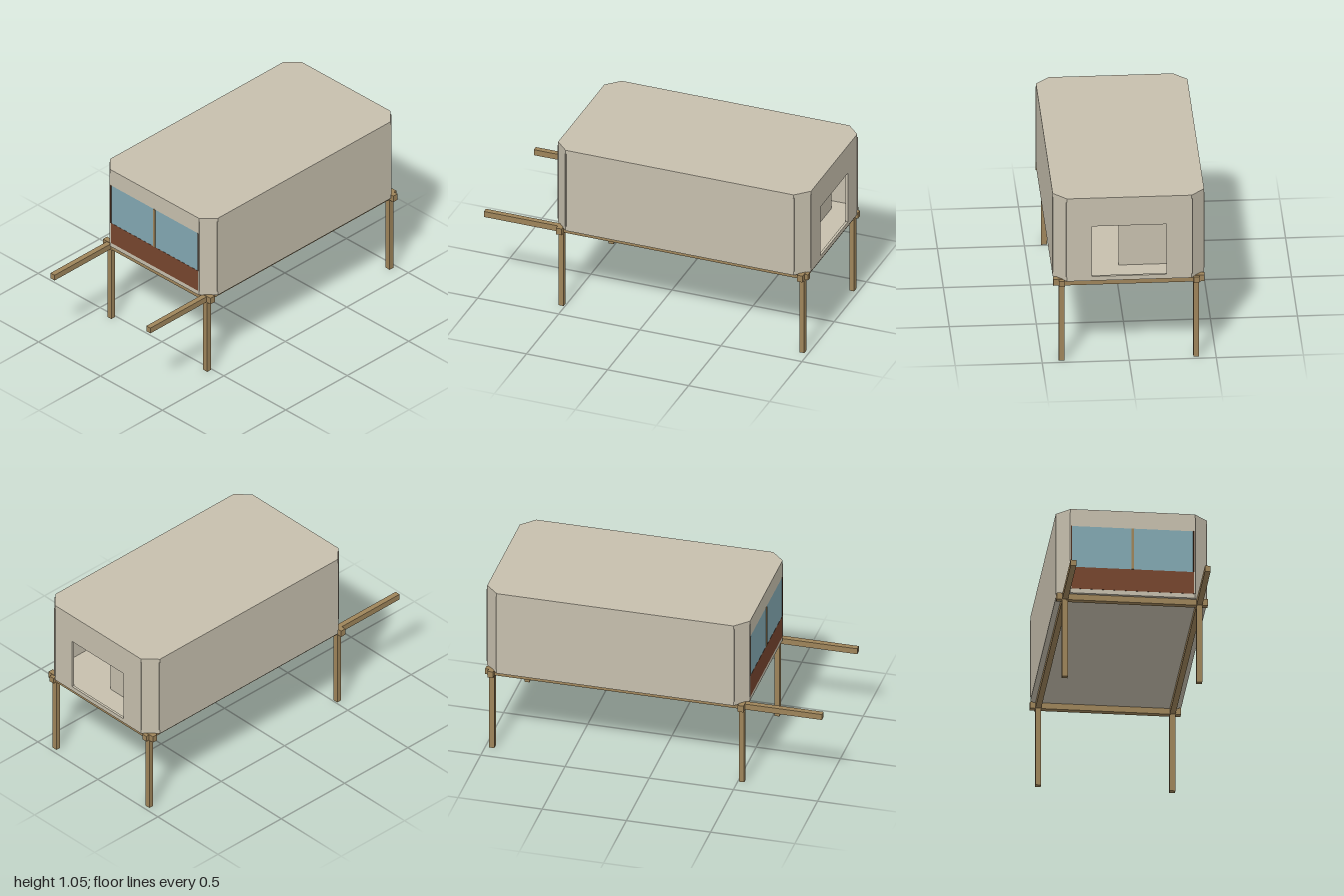
import * as THREE from 'three';

const mat = (name, color, side = THREE.FrontSide) => {
  const m = new THREE.MeshStandardMaterial({ color, side });
  m.name = name;
  return m;
};

export function createModel() {
  const root = new THREE.Group();
  root.name = 'raisedCabin';
  const wall = mat('warm grey panel', 0xc6bfad);
  const wood = mat('timber', 0x9e845a);
  const glass = mat('blue glass', 0x82a8b2, THREE.DoubleSide);
  const brown = mat('red brown panel', 0x76452e);
  const dark = mat('dark wood', 0x4a2e1e);

  const add = (parent, name, geo, m, x = 0, y = 0, z = 0) => {
    const mesh = new THREE.Mesh(geo, m);
    mesh.name = name;
    mesh.position.set(x, y, z);
    parent.add(mesh);
    return mesh;
  };
  // Box given by its minimum and maximum on each axis
  const span = (parent, name, m, x0, x1, y0, y1, z0, z1) =>
    add(parent, name, new THREE.BoxGeometry(x1 - x0, y1 - y0, z1 - z0), m,
      (x0 + x1) / 2, (y0 + y1) / 2, (z0 + z1) / 2);

  // Timber frame: two long carrying beams, two cross beams, four legs
  const frame = new THREE.Group();
  frame.name = 'timberFrame';
  root.add(frame);
  for (const s of [-1, 1]) {
    const z0 = s * 0.387 - 0.0165, z1 = s * 0.387 + 0.0165;
    span(frame, 'longBeam', wood, -1, 1, 0.484, 0.52, z0, z1);
    for (const x of [-0.523, 0.961]) span(frame, 'leg', wood, x - 0.015, x + 0.015, 0, 0.5, z0, z1);
  }
  for (const x of [-0.525, 0.961]) span(frame, 'crossBeam', wood, x - 0.017, x + 0.017, 0.482, 0.523, -0.435, 0.435);

  // Cabin shell with cut corners
  const X0 = -0.56, X1 = 1, Z = 0.435, C = 0.077, T = 0.015, Y0 = 0.518, Y1 = 1.047;
  const cabin = new THREE.Group();
  cabin.name = 'cabin';
  root.add(cabin);
  const outline = new THREE.Shape([
    [X0 + C, -Z], [X1 - C, -Z], [X1, -Z + C], [X1, Z - C],
    [X1 - C, Z], [X0 + C, Z], [X0, Z - C], [X0, -Z + C],
  ].map(([x, z]) => new THREE.Vector2(x, z)));
  const slab = (name, y, h) => add(cabin, name,
    new THREE.ExtrudeGeometry(outline, { depth: h, bevelEnabled: false }).rotateX(-Math.PI / 2), wall, 0, y, 0);
  slab('floor', Y0, 0.02);
  slab('roof', Y1 - 0.02, 0.02);
  const WB = Y0 + 0.02, WT = Y1 - 0.02;
  for (const s of [-1, 1]) {
    span(cabin, 'sideWall', wall, X0 + C, X1 - C, WB, WT, s > 0 ? Z - T : -Z, s > 0 ? Z : -Z + T);
  }

  // Corner panels with a narrow upright trim along each edge
  for (const sx of [-1, 1]) for (const sz of [-1, 1]) {
    const ex = sx > 0 ? X1 : X0;
    const corner = new THREE.Group();
    corner.name = 'corner';
    corner.position.set(ex - sx * C / 2, (WB + WT) / 2, sz * (Z - C / 2));
    corner.rotation.y = Math.atan2(sx, sz);
    cabin.add(corner);
    add(corner, 'cornerPanel', new THREE.BoxGeometry(C * Math.SQRT2, WT - WB, T), wall, 0, 0, -T / 2);
    span(cabin, 'cornerTrim', wall, ex - sx * C - 0.004, ex - sx * C + 0.004, 0.545, 1.025, sz * Z - 0.002, sz * Z + 0.002);
    span(cabin, 'cornerTrim', wall, ex - 0.002, ex + 0.002, 0.545, 1.025, sz * (Z - C) - 0.004, sz * (Z - C) + 0.004);
  }

  // End walls with an opening
  const endWall = (name, x, hw, y0, y1) => {
    const w = Z - C;
    const rect = (P, a, b, c, d) => new P([[a, c], [b, c], [b, d], [a, d]].map((p) => new THREE.Vector2(...p)));
    const shape = rect(THREE.Shape, -w, w, WB, WT);
    shape.holes.push(rect(THREE.Path, -hw, hw, y0, y1));
    add(cabin, name, new THREE.ExtrudeGeometry(shape, { depth: T, bevelEnabled: false }).rotateY(Math.PI / 2), wall, x, 0, 0);
  };
  endWall('doorwayWall', X1 - T, 0.215, 0.545, 0.866);
  endWall('windowWall', X0, 0.352, 0.545, 0.94);

  // Wide window over a brown panel
  span(cabin, 'lowerPanel', brown, X0 - 0.001, X0 + 0.012, 0.545, 0.682, -0.352, 0.352);
  span(cabin, 'windowGlass', glass, X0, X0 + 0.006, 0.682, 0.94, -0.352, 0.352);
  span(cabin, 'mullion', wood, X0 - 0.004, X0 + 0.012, 0.682, 0.94, -0.007, 0.007);
  for (const s of [-1, 1]) {
    span(cabin, 'windowPost', dark, X0 - 0.003, X0 + 0.01, 0.682, 0.94, s * 0.352 - 0.003, s * 0.352 + 0.003);
  }

  // Inner partition and tall cabinet behind it
  span(cabin, 'partition', wall, 0.835, 0.85, WB, 0.847, -0.34, 0.052);
  span(cabin, 'cabinet', brown, 0.3, 0.6, WB, 0.859, -0.4, -0.16);

  // Spoked wheel facing the window
  const helm = new THREE.Group();
  helm.name = 'helm';
  helm.position.set(-0.42, 0.685, 0);
  helm.rotation.y = Math.PI / 2;
  root.add(helm);
  for (const r of [0.058, 0.071]) add(helm, 'wheelRim', new THREE.TorusGeometry(r, 0.005, 8, 32), wood);
  add(helm, 'wheelHub', new THREE.CylinderGeometry(0.014, 0.014, 0.02, 16).rotateX(Math.PI / 2), dark);
  for (let i = 0; i < 4; i++) {
    add(helm, 'spoke', new THREE.CylinderGeometry(0.003, 0.003, 0.16, 8), dark).rotation.z = i * Math.PI / 4;
  }
  span(root, 'helmStand', brown, -0.49, -0.44, WB, 0.7, -0.025, 0.025);

  // Swivel chair
  const chair = new THREE.Group();
  chair.name = 'chair';
  chair.position.set(-0.3, WB, 0.205);
  root.add(chair);
  span(chair, 'seat', glass, -0.045, 0.045, 0.045, 0.062, -0.04, 0.04);
  span(chair, 'backrest', glass, 0.04, 0.052, 0.08, 0.128, -0.04, 0.04);
  span(chair, 'backPost', dark, 0.04, 0.048, 0.04, 0.085, -0.006, 0.006);
  add(chair, 'column', new THREE.CylinderGeometry(0.005, 0.005, 0.04, 10), dark, 0, 0.028, 0);
  for (const s of [-1, 1]) {
    span(chair, 'armrest', dark, -0.025, 0.04, 0.082, 0.088, s * 0.046 - 0.005, s * 0.046 + 0.005);
    span(chair, 'armPost', dark, 0, 0.008, 0.045, 0.082, s * 0.046 - 0.003, s * 0.046 + 0.003);
  }
  for (let i = 0; i < 5; i++) {
    const foot = new THREE.Group();
    foot.name = 'foot';
    foot.rotation.y = i * Math.PI * 2 / 5;
    chair.add(foot);
    span(foot, 'footBar', dark, 0, 0.042, 0.01, 0.016, -0.004, 0.004);
    add(foot, 'caster', new THREE.SphereGeometry(0.006, 8, 6), dark, 0.04, 0.006, 0);
  }
  return root;
}
